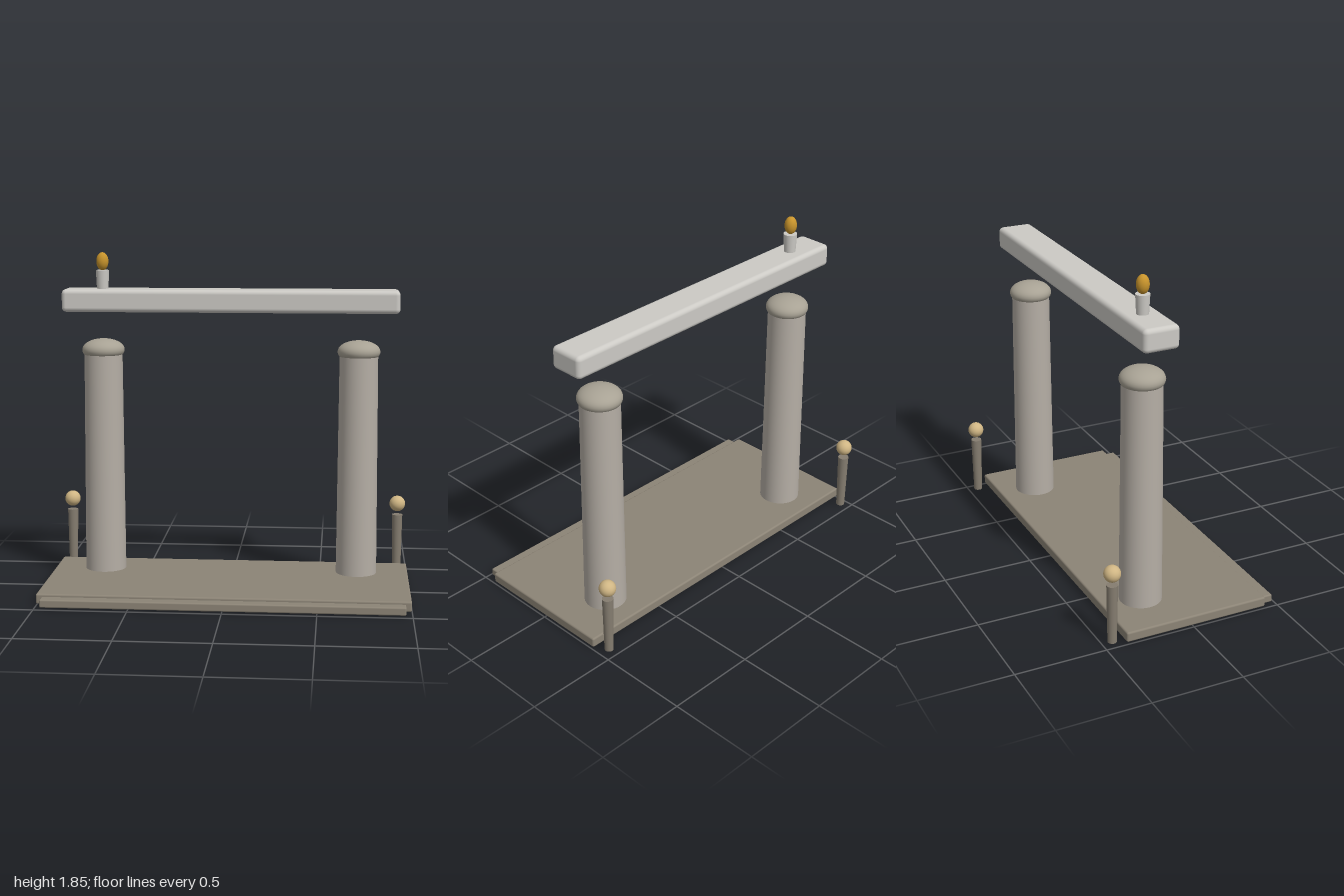
import * as THREE from 'three';
import { RoundedBoxGeometry } from 'three/addons/geometries/RoundedBoxGeometry.js';

const mat = (color) => new THREE.MeshStandardMaterial({ color });
const stone = mat(0x8c8476);
const capStone = mat(0xa8a294);
const columnStone = mat(0xb5aea5);
const pale = mat(0xcccac5);
const postWood = mat(0x857d70);
const knobGold = mat(0xd0b684);
const flameGold = mat(0xc8942c);
const bronze = mat(0x6e5f42);

function add(parent, name, geometry, material, x, y, z) {
  const mesh = new THREE.Mesh(geometry, material);
  mesh.name = name;
  mesh.position.set(x, y, z);
  parent.add(mesh);
  return mesh;
}

// Rounded block given by its min and max on each axis
function block(parent, name, material, [x0, x1], [y0, y1], [z0, z1], radius) {
  const geometry = new RoundedBoxGeometry(x1 - x0, y1 - y0, z1 - z0, 3, radius);
  return add(parent, name, geometry, material, (x0 + x1) / 2, (y0 + y1) / 2, (z0 + z1) / 2);
}

// Column cap: undercut rim, then a low dome
function capGeometry() {
  const points = [[0, 1.282], [0.098, 1.282], [0.11, 1.29], [0.116, 1.302], [0.118, 1.314]]
    .map(([r, y]) => new THREE.Vector2(r, y));
  for (let i = 1; i <= 10; i++) {
    const a = (i / 10) * Math.PI / 2;
    points.push(new THREE.Vector2(i === 10 ? 0 : 0.117 * Math.cos(a), 1.316 + 0.06 * Math.sin(a)));
  }
  return new THREE.LatheGeometry(points, 40);
}

export function createModel() {
  const model = new THREE.Group();
  model.name = 'gateway';

  // Floor slab, front step and the panel let into the underside
  block(model, 'floorSlab', stone, [-1, 0.997], [0.01, 0.066], [-0.385, 0.425], 0.01);
  block(model, 'frontStep', stone, [-0.97, 0.966], [0.007, 0.051], [0.305, 0.485], 0.008);
  block(model, 'undersidePanel', bronze, [-0.5, 0.47], [0, 0.03], [-0.18, 0.05], 0.004);

  // Two tapered columns with domed caps
  for (const [side, x] of [['right', -0.713], ['left', 0.707]]) {
    const column = new THREE.Group();
    column.name = side + 'Column';
    column.position.set(x, 0, -0.168);
    add(column, 'shaft', new THREE.CylinderGeometry(0.106, 0.114, 1.27, 40), columnStone, 0, 0.655, 0);
    add(column, 'cap', capGeometry(), capStone, 0, 0, 0);
    model.add(column);
  }

  // Floating lintel
  block(model, 'lintel', pale, [-0.93, 0.927], [1.528, 1.653], [-0.27, -0.073], 0.025);

  // Candle with its flame
  add(model, 'candle', new THREE.CylinderGeometry(0.037, 0.031, 0.12, 24), pale, -0.713, 1.695, -0.17);
  add(model, 'flame', new THREE.SphereGeometry(1, 20, 14), flameGold, -0.713, 1.803, -0.17)
    .scale.set(0.034, 0.05, 0.034);

  // Rear corner posts with floating knobs
  for (const [side, x] of [['right', -0.952], ['left', 0.943]]) {
    const post = new THREE.Group();
    post.name = side + 'Post';
    post.position.set(x, 0, -0.447);
    add(post, 'stake', new THREE.CylinderGeometry(0.03, 0.024, 0.33, 20), postWood, 0, 0.174, 0);
    add(post, 'knob', new THREE.SphereGeometry(0.045, 24, 16), knobGold, 0, 0.403, 0);
    model.add(post);
  }
  return model;
}
